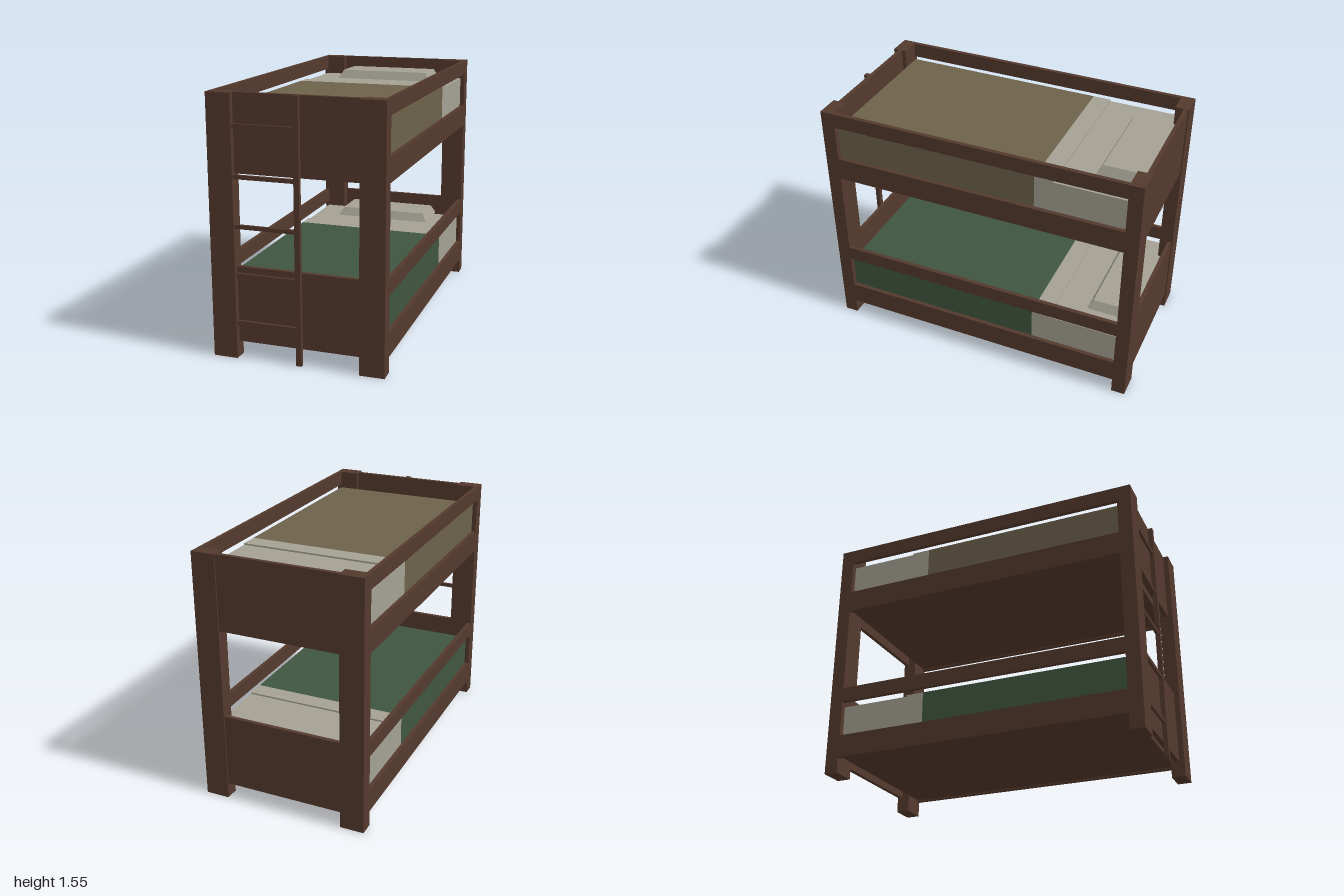
import * as THREE from 'three';

const material = (name, color) => {
  const m = new THREE.MeshStandardMaterial({ color });
  m.name = name;
  return m;
};

export function createModel() {
  const wood = material('dark wood', 0x54392c);
  const linen = material('linen', 0xa4a093);
  const tan = material('tan blanket', 0x6d624b);
  const green = material('green blanket', 0x3f5640);

  const model = new THREE.Group();
  model.name = 'bunkBed';

  // Box given by its minimum and maximum on each axis
  const box = (parent, name, mat, [x0, x1], [y0, y1], [z0, z1]) => {
    const mesh = new THREE.Mesh(new THREE.BoxGeometry(x1 - x0, y1 - y0, z1 - z0), mat);
    mesh.position.set((x0 + x1) / 2, (y0 + y1) / 2, (z0 + z1) / 2);
    mesh.name = name;
    parent.add(mesh);
    return mesh;
  };

  // Corner posts
  const spanX = (s) => (s > 0 ? [0.372, 0.52] : [-0.52, -0.372]);
  for (const sx of [-1, 1]) {
    for (const z of [[0.915, 1], [-1, -0.915]]) {
      box(model, 'cornerPost', wood, spanX(sx), [0, 1.555], z);
    }
  }

  // Pillow: a box whose upper edges are drawn inward
  const addPillow = (parent, y) => {
    const pillow = box(parent, 'pillow', linen, [-0.325, 0.322], [y, y + 0.055], [-0.96, -0.665]);
    const p = pillow.geometry.attributes.position;
    for (let i = 0; i < p.count; i++) {
      if (p.getY(i) > 0) {
        p.setX(i, p.getX(i) - Math.sign(p.getX(i)) * 0.028);
        p.setZ(i, p.getZ(i) - Math.sign(p.getZ(i)) * 0.028);
      }
    }
    pillow.geometry.computeVertexNormals();
  };

  // One bunk: rails, end panels, base board and bedding
  const addBunk = (name, y, blanketMat) => {
    const bunk = new THREE.Group();
    bunk.name = name;
    bunk.position.y = y;
    model.add(bunk);
    for (const x of [[-0.52, -0.494], [0.494, 0.52]]) {
      box(bunk, 'sideRail', wood, x, [0, 0.142], [-0.915, 0.915]);
      box(bunk, 'guardRail', wood, x, [0.365, 0.457], [-0.915, 0.915]);
    }
    box(bunk, 'footPanel', wood, [-0.372, 0.372], [0, 0.457], [0.94, 0.967]);
    box(bunk, 'headPanel', wood, [-0.372, 0.372], [0, 0.457], [-0.992, -0.967]);
    box(bunk, 'baseBoard', wood, [-0.494, 0.494], [0.012, 0.1], [-0.913, 0.913]);
    box(bunk, 'blanket', blanketMat, [-0.493, 0.493], [0.1, 0.345], [-0.362, 0.91]);
    box(bunk, 'foldedSheet', linen, [-0.493, 0.493], [0.1, 0.345], [-0.475, -0.362]);
    box(bunk, 'mattressSheet', linen, [-0.493, 0.493], [0.1, 0.335], [-0.91, -0.475]);
    addPillow(bunk, 0.335);
  };
  addBunk('lowerBunk', 0.096, green);
  addBunk('upperBunk', 1.098, tan);

  // Ladder fixed between a front post and a single upright
  const ladder = new THREE.Group();
  ladder.name = 'ladder';
  model.add(ladder);
  box(ladder, 'ladderUpright', wood, [-0.008, 0.024], [0, 1.555], [0.967, 0.995]);
  for (let i = 0; i < 5; i++) {
    const y = 0.206 + i * 0.288;
    box(ladder, 'ladderRung', wood, [-0.372, -0.008], [y, y + 0.024], [0.973, 0.99]);
  }
  return model;
}
